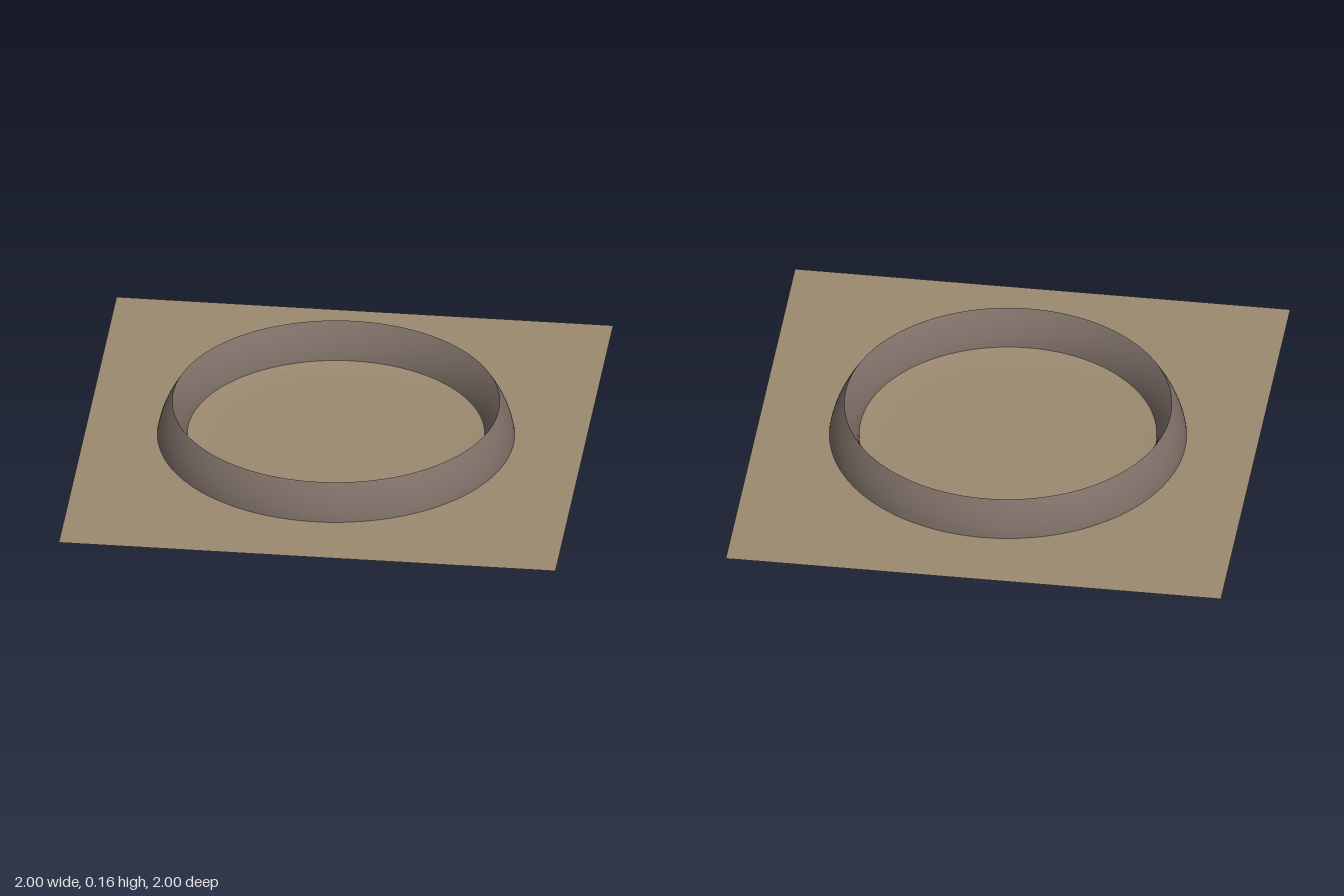
import * as THREE from 'three';

const SEGMENTS = 192;
const BASE = 0.009;      // level of the surrounding ground
const OUTER = 0.715;     // outer foot of the ridge
const CREST = 0.655;
const INNER = 0.595;     // inner foot of the ridge
const HEIGHT = 0.15;     // ridge height above the ground

const sand = new THREE.MeshStandardMaterial({ color: 0x9c8a70, side: THREE.DoubleSide });
const rock = new THREE.MeshStandardMaterial({ color: 0x7d6f67, side: THREE.DoubleSide });

function addMesh(group, name, geometry, material) {
  const mesh = new THREE.Mesh(geometry, material);
  mesh.name = name;
  group.add(mesh);
}

function revolve(pairs) {
  return new THREE.LatheGeometry(pairs.map(([r, y]) => new THREE.Vector2(r, y)), SEGMENTS);
}

// Convex flank, steep at the foot and leaning over towards the crest
function flank(foot) {
  const pairs = [];
  for (let i = 0; i <= 10; i++) {
    const t = i / 10;
    pairs.push([foot + (CREST - foot) * (0.35 * t + 0.65 * t * t), BASE + HEIGHT * t]);
  }
  return pairs;
}

export function createModel() {
  const group = new THREE.Group();
  group.name = 'craterTerrain';

  // Square ground sheet, open under the ridge and crater floor
  const square = new THREE.Shape([
    new THREE.Vector2(-1, -1), new THREE.Vector2(1, -1),
    new THREE.Vector2(1, 1), new THREE.Vector2(-1, 1),
  ]);
  const hole = new THREE.Path();
  hole.absarc(0, 0, OUTER, 0, Math.PI * 2, true);
  square.holes.push(hole);
  const ground = new THREE.ShapeGeometry(square, SEGMENTS / 2);
  ground.rotateX(-Math.PI / 2).translate(0, BASE, 0);
  addMesh(group, 'ground', ground, sand);

  // Hollow ring ridge with a sharp crest between its two flanks
  addMesh(group, 'outerRidgeFlank', revolve(flank(OUTER)), rock);
  addMesh(group, 'innerRidgeFlank', revolve(flank(INNER).reverse()), rock);

  // Crater floor, slightly dished below the ground level
  addMesh(group, 'craterFloor', revolve([
    [INNER, BASE], [0.57, 0.006], [0.54, 0.002], [0.45, 0], [0.2, 0], [0, 0],
  ]), sand);

  return group;
}
